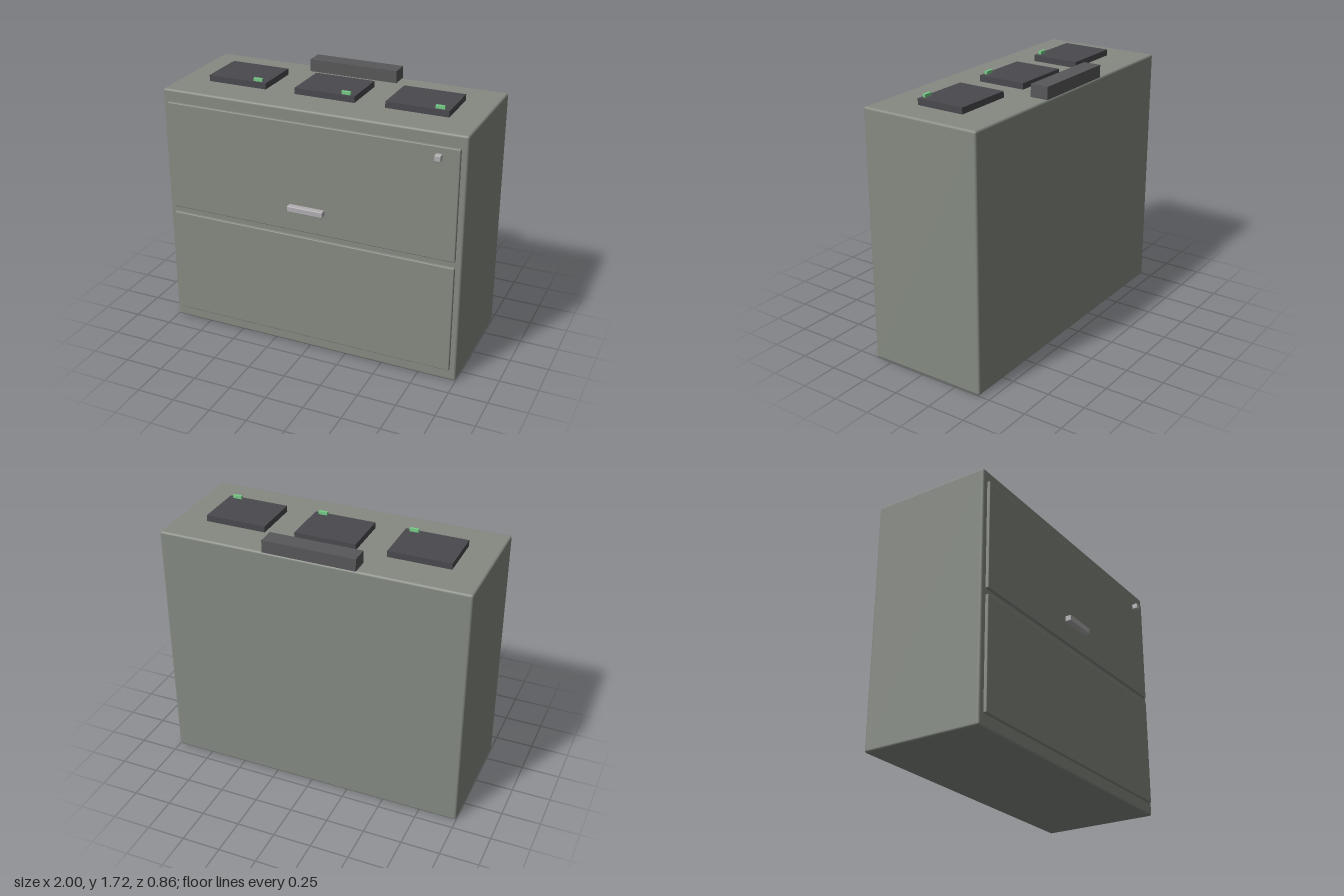
import * as THREE from 'three';
import { RoundedBoxGeometry } from 'three/addons/geometries/RoundedBoxGeometry.js';

const paint = (color) => new THREE.MeshStandardMaterial({ color });

// Box given by its lower and upper corners; a radius rounds its edges.
function block(name, material, [x0, y0, z0], [x1, y1, z1], radius = 0) {
  const size = [x1 - x0, y1 - y0, z1 - z0];
  const geometry = radius
    ? new RoundedBoxGeometry(...size, 3, radius)
    : new THREE.BoxGeometry(...size);
  const mesh = new THREE.Mesh(geometry, material);
  mesh.name = name;
  mesh.position.set((x0 + x1) / 2, (y0 + y1) / 2, (z0 + z1) / 2);
  return mesh;
}

export function createModel() {
  const model = new THREE.Group();
  model.name = 'cabinet';
  const shell = paint(0x858a82);
  const dark = paint(0x4a494e);
  const charcoal = paint(0x58585a);
  const metal = paint(0xb0aeb0);
  const green = paint(0x77cc88);

  // Cabinet body
  model.add(block('body', shell, [-1, 0, -0.43], [1, 1.64, 0.37], 0.015));

  // Two drawer fronts, sunk slightly into the body
  for (const [name, y] of [['lowerDrawerFront', 0.08], ['upperDrawerFront', 0.84]]) {
    model.add(block(name, shell, [-0.96, y, 0.36], [0.96, y + 0.72, 0.39], 0.006));
  }

  // Pull handle and lock
  model.add(block('handle', metal, [-0.12, 0.98, 0.388], [0.12, 1.02, 0.43], 0.006));
  model.add(block('lock', metal, [0.817, 1.48, 0.388], [0.857, 1.52, 0.43], 0.006));

  // Three flat devices on top, each with an indicator light
  for (const x of [-0.6, 0, 0.6]) {
    const device = new THREE.Group();
    device.name = 'device';
    device.position.x = x;
    device.add(
      block('deviceCase', dark, [-0.2, 1.64, -0.19], [0.2, 1.68, 0.13]),
      block('indicatorLight', green, [0.11, 1.68, 0.1], [0.168, 1.7, 0.118]),
    );
    model.add(device);
  }

  // Long unit along the back edge
  model.add(block('rearUnit', charcoal, [-0.3, 1.64, -0.43], [0.3, 1.72, -0.313]));
  return model;
}
